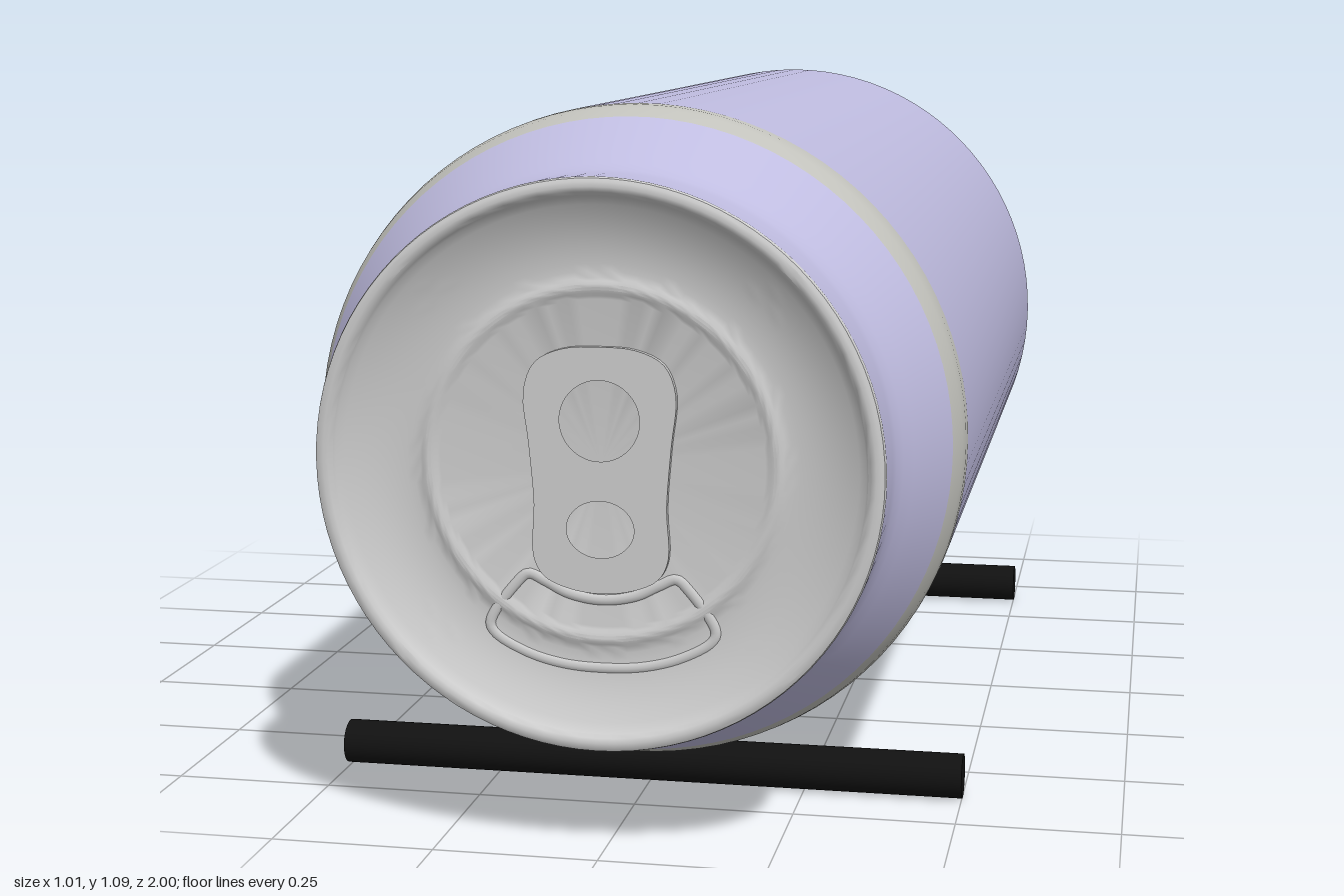
import * as THREE from 'three';
import { toCreasedNormals } from 'three/addons/utils/BufferGeometryUtils.js';

const AXIS_Y = 0.58;
const FLOOR_Z = 0.955;
const grey = new THREE.MeshStandardMaterial({ color: 0xcccccc });
const lilac = new THREE.MeshStandardMaterial({ color: 0xbfbce0 });
const bandGrey = new THREE.MeshStandardMaterial({ color: 0xc2c2bc });
const black = new THREE.MeshStandardMaterial({ color: 0x111111 });

// Turned part around the can's lengthwise axis; profile is [radius, z], rear to front
function turned(name, profile, material) {
  const points = profile.map(([r, z]) => new THREE.Vector2(r, z));
  const geometry = toCreasedNormals(new THREE.LatheGeometry(points, 96).rotateX(Math.PI / 2), 0.6);
  const mesh = new THREE.Mesh(geometry, material);
  mesh.name = name;
  return mesh;
}

// Closed smooth outline, mirrored from its right half (first and last points lie on x = 0)
function mirroredCurve(half) {
  const left = half.slice(1, -1).reverse().map(([x, y]) => [-x, y]);
  const points = [...half, ...left].map(([x, y]) => new THREE.Vector3(x, y, 0));
  return new THREE.CatmullRomCurve3(points, true, 'centripetal');
}

function ellipseHole(y, rx, ry) {
  return new THREE.Path().absellipse(0, y, rx, ry, 0, Math.PI * 2, true);
}

export function createModel() {
  const model = new THREE.Group();
  const can = new THREE.Group();
  can.name = 'can';
  can.position.y = AXIS_Y;
  model.add(can);

  // Base, body and neck
  can.add(turned('base', [[0, -1], [0.352, -1], [0.36, -0.997], [0.366, -0.988], [0.366, -0.94]], grey));
  can.add(turned('rearShoulder', [[0.362, -0.947], [0.372, -0.945], [0.38, -0.938], [0.494, -0.886]], lilac));
  can.add(turned('rearBand', [[0.494, -0.886], [0.499, -0.882], [0.503, -0.875], [0.505, -0.863]], bandGrey));
  can.add(turned('body', [[0.505, -0.863], [0.505, 0.69]], lilac));
  can.add(turned('frontBand', [[0.505, 0.69], [0.504, 0.712], [0.5, 0.73], [0.488, 0.755]], bandGrey));
  can.add(turned('neck', [[0.488, 0.755], [0.44, 0.846], [0.427, 0.87], [0.419, 0.89], [0.416, 0.91], [0.417, 0.99]], lilac));

  // Lid: rolled rim, dished wall, ring bead and flat panel
  const lid = [[0.417, 0.99], [0.415, 0.996], [0.41, 0.999], [0.403, 1], [0.396, 0.998], [0.391, 0.992]];
  for (let i = 0; i <= 10; i++) {
    const t = 1 - i / 10;
    lid.push([0.28 + 0.108 * t, FLOOR_Z + 0.033 * t * t]);
  }
  for (let i = 1; i <= 8; i++) {
    const t = i / 8;
    lid.push([0.275 - 0.035 * t, FLOOR_Z + 0.003 * (1 - Math.cos(t * Math.PI * 2))]);
  }
  lid.push([0, FLOOR_Z]);
  can.add(turned('lid', lid, grey));

  // Pull tab with rivet opening and finger opening
  const tabCurve = mirroredCurve([
    [0, 0.172], [0.055, 0.168], [0.095, 0.148], [0.112, 0.105], [0.105, 0.03],
    [0.098, -0.06], [0.1, -0.135], [0.085, -0.165], [0.05, -0.182], [0, -0.189],
  ]);
  const tabShape = new THREE.Shape(tabCurve.getPoints(72).map((p) => new THREE.Vector2(p.x, p.y)));
  tabShape.holes.push(ellipseHole(0.065, 0.059, 0.059), ellipseHole(-0.094, 0.05, 0.042));
  const tab = new THREE.Mesh(
    new THREE.ExtrudeGeometry(tabShape, { depth: 0.01, bevelEnabled: false, curveSegments: 32 }), grey);
  tab.name = 'pullTab';
  tab.position.z = FLOOR_Z;
  can.add(tab);

  // Raised bead around the pouring opening
  const mouthCurve = mirroredCurve([
    [0, -0.2], [0.05, -0.192], [0.085, -0.175], [0.11, -0.165], [0.128, -0.18],
    [0.168, -0.24], [0.162, -0.256], [0.115, -0.283], [0.06, -0.298], [0, -0.302],
  ]);
  const mouth = new THREE.Mesh(new THREE.TubeGeometry(mouthCurve, 120, 0.008, 10, true), grey);
  mouth.name = 'mouthBead';
  mouth.scale.z = 0.6;
  mouth.position.z = FLOOR_Z;
  can.add(mouth);

  // Two rods under the can
  for (const [name, z] of [['frontRod', 0.625], ['rearRod', -0.64]]) {
    const rod = new THREE.Mesh(
      new THREE.CylinderGeometry(0.035, 0.035, 1.006, 32).rotateZ(Math.PI / 2), black);
    rod.name = name;
    rod.position.set(-0.002, 0.035, z);
    model.add(rod);
  }
  return model;
}
